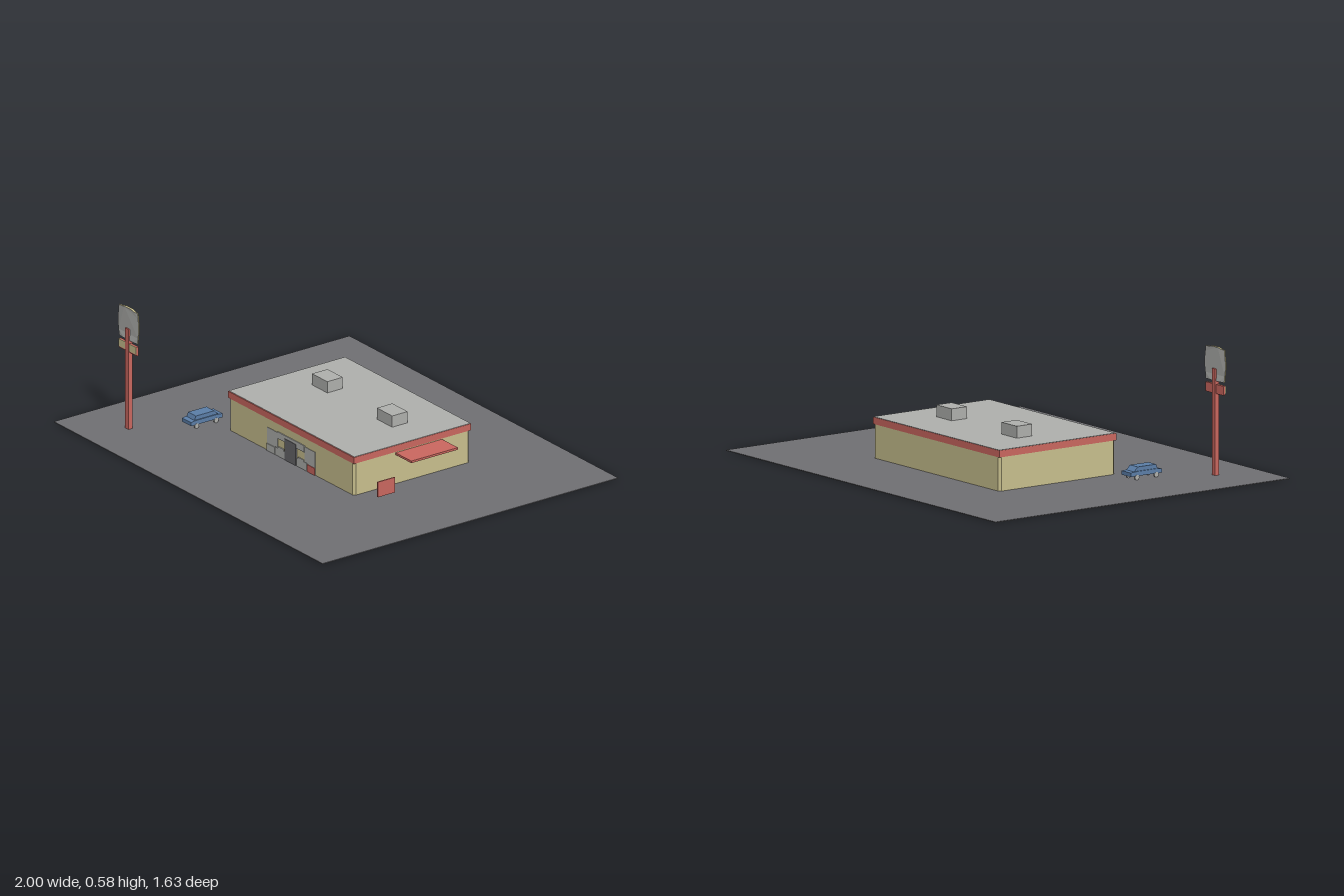
import * as THREE from 'three';

const mat = (name, color, side = THREE.FrontSide) => {
  const m = new THREE.MeshStandardMaterial({ color, side });
  m.name = name;
  return m;
};

export function createModel() {
  const asphalt = mat('asphalt', 0x707074);
  const cream = mat('cream wall', 0xcac18f);
  const red = mat('red trim', 0xcc6860);
  const grey = mat('light grey', 0xb0b1ae);
  const dark = mat('dark door', 0x67676b);
  const blue = mat('car blue', 0x5c7fa9);

  const root = new THREE.Group();
  root.name = 'roadsideDiner';
  const group = (name) => {
    const g = new THREE.Group();
    g.name = name;
    root.add(g);
    return g;
  };
  const add = (parent, name, geometry, material) => {
    const m = new THREE.Mesh(geometry, material);
    m.name = name;
    parent.add(m);
    return m;
  };
  // Box given by its limits on each axis
  const box = (parent, name, material, x0, x1, y0, y1, z0, z1) => {
    const m = add(parent, name, new THREE.BoxGeometry(x1 - x0, y1 - y0, z1 - z0), material);
    m.position.set((x0 + x1) / 2, (y0 + y1) / 2, (z0 + z1) / 2);
    return m;
  };
  const shape = (pts) => new THREE.Shape(pts.map(([x, y]) => new THREE.Vector2(x, y)));

  box(root, 'parkingLot', asphalt, -1, 1, 0, 0.004, -0.815, 0.815);

  // Building: walls with chamfered corners, red fascia, flat roof
  const building = group('building');
  const X = 0.466, ZB = -0.395, ZF = 0.246, c = 0.011;
  const plan = shape([
    [-X + c, -ZF], [X - c, -ZF], [X, -ZF + c], [X, -ZB - c],
    [X - c, -ZB], [-X + c, -ZB], [-X, -ZB - c], [-X, -ZF + c],
  ]);
  const walls = new THREE.ExtrudeGeometry(plan, { depth: 0.156, bevelEnabled: false });
  walls.rotateX(-Math.PI / 2);
  add(building, 'walls', walls, cream).position.y = 0.004;
  box(building, 'fascia', red, -0.469, 0.469, 0.158, 0.189, -0.398, 0.249);
  box(building, 'roof', grey, -0.467, 0.467, 0.186, 0.191, -0.396, 0.245);
  for (const x of [-0.243, 0.24]) {
    box(building, 'roofUnit', grey, x - 0.057, x + 0.057, 0.19, 0.245, -0.175, -0.09);
  }

  // Entrance: thin plates on the front wall
  const entrance = group('entrance');
  const plate = (name, m, x0, x1, y0, y1, out = 0.004) =>
    box(entrance, name, m, x0, x1, y0, y1, 0.243, 0.246 + out);
  for (const s of [-1, 1]) {
    const span = (a, b) => (s < 0 ? [-b, -a] : [a, b]);
    plate('window', grey, ...span(0.1, 0.178), 0.004, 0.115, 0.002);
    plate('lowerPanel', grey, ...span(0.042, 0.118), 0.004, 0.042);
    plate('bench', grey, ...span(0.055, 0.095), 0.042, 0.05);
  }
  plate('planterLeft', grey, -0.18, -0.118, 0.004, 0.038, 0.005);
  plate('planterRight', red, 0.122, 0.177, 0.004, 0.038, 0.005);
  plate('header', grey, -0.1, 0.1, 0.088, 0.12);
  plate('door', dark, -0.045, 0.04, 0.004, 0.106, 0.006);

  // Side canopy and menu board
  box(root, 'canopy', red, 0.46, 0.584, 0.143, 0.153, -0.24, 0.017);
  box(root, 'menuBoard', red, 0.597, 0.603, 0.035, 0.108, 0.12, 0.215);

  // Roadside sign
  const sign = group('roadSign');
  sign.position.set(-0.743, 0, 0.593);
  box(sign, 'pole', red, -0.012, 0.012, 0, 0.486, -0.011, 0.011);
  box(sign, 'lowerBoard', red, -0.066, 0.066, 0.374, 0.416, -0.006, 0.005);
  box(sign, 'lowerBoardFace', cream, -0.066, 0.066, 0.381, 0.416, 0.005, 0.008);
  // Barrel-shaped board, thickest in the middle
  const half = [[0.068, 0.431], [0.072, 0.46], [0.077, 0.49], [0.077, 0.525],
    [0.072, 0.555], [0.07, 0.579], [0.045, 0.58], [0.025, 0.585]];
  const outline = shape([[0.03, 0.431], ...half,
    ...half.slice().reverse().map(([x, y]) => [-x, y]), [-0.03, 0.431]]);
  const board = new THREE.ExtrudeGeometry(outline, { depth: 1, bevelEnabled: false });
  const p = board.attributes.position;
  for (let i = 0; i < p.count; i++) {
    const t = 0.008 - 0.075 * Math.abs(p.getX(i));
    p.setZ(i, (p.getZ(i) * 2 - 1) * Math.max(t, 0.0025));
  }
  board.computeVertexNormals();
  add(sign, 'upperBoard', board, [grey, cream]);

  // Parked car: side profile extruded across its width
  const car = group('car');
  car.position.x = -0.595;
  const slab = (name, pts, width) => {
    const g = new THREE.ExtrudeGeometry(shape(pts), { depth: width, bevelEnabled: false });
    g.translate(0, 0, -width / 2);
    g.rotateY(-Math.PI / 2);
    add(car, name, g, blue);
  };
  slab('body', [[0.21, 0.022], [0.383, 0.022], [0.383, 0.039], [0.36, 0.043],
    [0.25, 0.043], [0.21, 0.04]], 0.068);
  slab('cabin', [[0.232, 0.042], [0.362, 0.042], [0.354, 0.062], [0.252, 0.062]], 0.058);
  for (const x of [-0.031, 0.031]) {
    for (const z of [0.245, 0.352]) {
      const g = new THREE.CylinderGeometry(0.012, 0.012, 0.008, 12);
      g.rotateZ(Math.PI / 2);
      add(car, 'wheel', g, grey).position.set(x, 0.016, z);
    }
  }
  return root;
}
